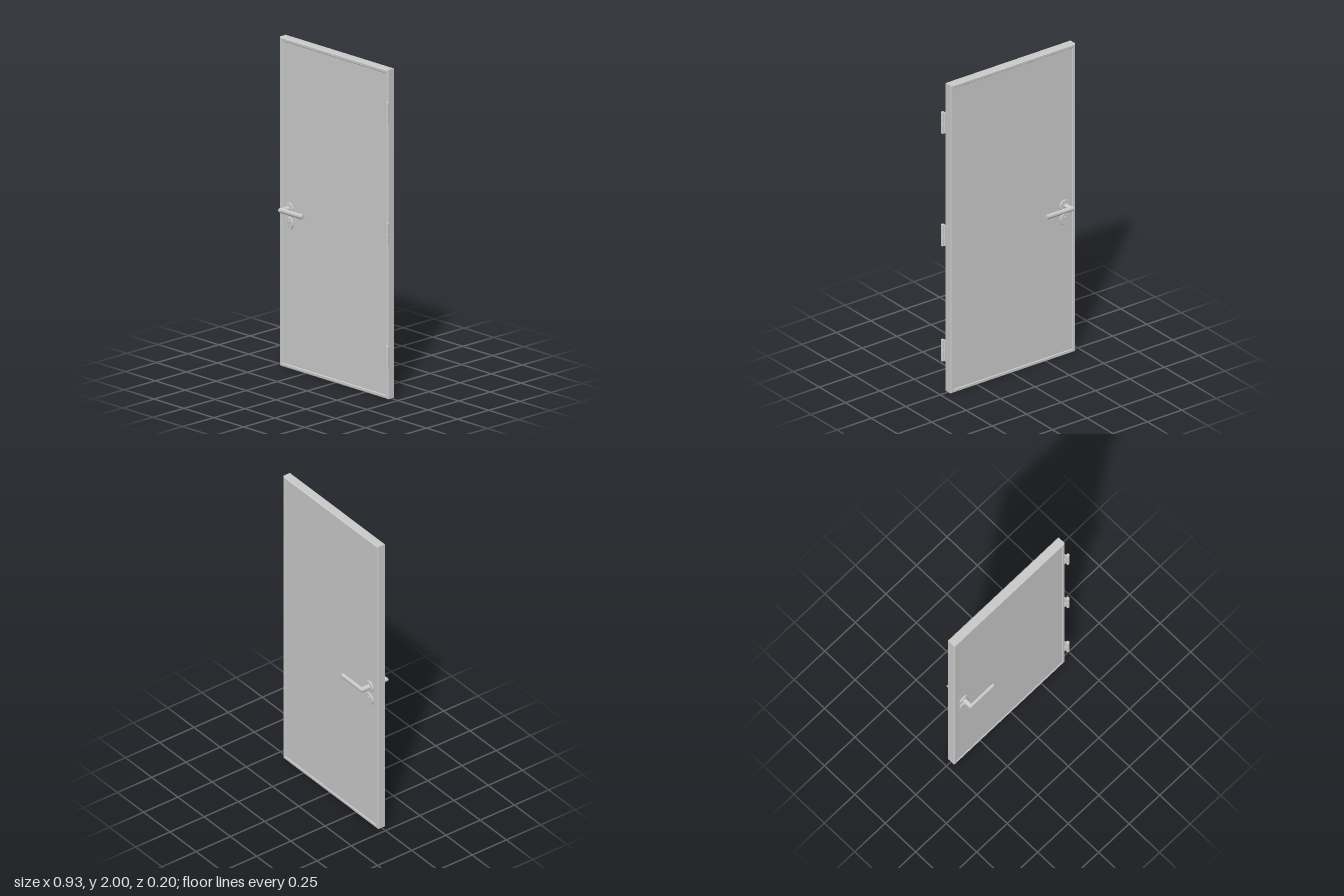
import * as THREE from 'three';

const steel = new THREE.MeshStandardMaterial({ color: 0xcccccc });
const CX = -0.01, W = 0.906, H = 2, HALF = 0.028; // door slab
const HX = -0.386; // handle axis

function add(parent, name, geometry, x = 0, y = 0, z = 0) {
  const mesh = new THREE.Mesh(geometry, steel);
  mesh.name = name;
  mesh.position.set(x, y, z);
  parent.add(mesh);
  return mesh;
}

function rect(Type, w, h) {
  const r = new Type();
  r.moveTo(-w / 2, -h / 2).lineTo(w / 2, -h / 2).lineTo(w / 2, h / 2).lineTo(-w / 2, h / 2).closePath();
  return r;
}

// Bevelled rim standing slightly proud of the panel
function rimGeometry() {
  const b = 0.005, border = 0.024;
  const shape = rect(THREE.Shape, W - 2 * b, H - 2 * b);
  shape.holes.push(rect(THREE.Path, W - 2 * border + 2 * b, H - 2 * border + 2 * b));
  const depth = 2 * (HALF - b);
  const g = new THREE.ExtrudeGeometry(shape, {
    depth, bevelEnabled: true, bevelSize: b, bevelThickness: b, bevelSegments: 1,
  });
  return g.translate(0, 0, -depth / 2);
}

// Round plate facing +z, from a profile of [radius, height]
function plateGeometry(profile) {
  const pts = profile.map(([r, h]) => new THREE.Vector2(r, h));
  return new THREE.LatheGeometry(pts, 40).rotateX(Math.PI / 2);
}

// Mitred lever: an oval section runs out along z, then turns along +x
function leverGeometry() {
  const N = 28, rx = 0.0165, ry = 0.0155, rz = 0.0115, zc = 0.0865, len = 0.181;
  const pos = [], index = [];
  const ring = (f) => {
    for (let i = 0; i <= N; i++) {
      const a = (i / N) * Math.PI * 2;
      pos.push(...f(Math.cos(a), Math.sin(a)));
    }
  };
  const neck = (c, s) => [rx * c, ry * s, 0.024];
  const mitre = (c, s) => [rx * c, ry * s, zc - rz * c];
  const end = (c, s) => [len, ry * s, zc - rz * c];
  // Rings are doubled at the mitre to keep that edge sharp
  [neck, mitre, mitre, end].forEach(ring);
  for (const k of [0, 2]) {
    for (let i = 0; i < N; i++) {
      const a = k * (N + 1) + i, b = a + N + 1;
      index.push(a, a + 1, b, a + 1, b + 1, b);
    }
  }
  // Flat end cap
  const first = pos.length / 3;
  ring(end);
  for (let i = 1; i < N - 1; i++) index.push(first, first + i, first + i + 1);
  const g = new THREE.BufferGeometry();
  g.setAttribute('position', new THREE.Float32BufferAttribute(pos, 3));
  g.setIndex(index);
  g.computeVertexNormals();
  return g;
}

// Lock cylinder face: round head with a narrower foot and a key slot
function lockGeometry() {
  const s = new THREE.Shape();
  s.absarc(0, 0.008, 0.011, -1.08, Math.PI + 1.08, false);
  s.lineTo(-0.0052, -0.018);
  s.absarc(0, -0.018, 0.0052, Math.PI, Math.PI * 2, false);
  s.closePath();
  const slot = rect(THREE.Path, 0.003, 0.012);
  slot.curves.forEach((c) => { c.v1.y += 0.008; c.v2.y += 0.008; });
  s.holes.push(slot);
  return new THREE.ExtrudeGeometry(s, { depth: 0.014, bevelEnabled: false, curveSegments: 16 });
}

// Handle, rose and lock plate for one face of the door
function makeHandleSet() {
  const g = new THREE.Group();
  const rose = [[0.037, 0], [0.037, 0.005], [0.037, 0.005], [0.035, 0.008], [0.035, 0.008], [0, 0.008]];
  add(g, 'handleRose', plateGeometry(rose), -0.383, 0.973, HALF - 0.002);
  add(g, 'handleCollar', plateGeometry([[0.021, 0], [0.021, 0.004], [0.021, 0.004], [0, 0.004]]), HX, 0.973, HALF + 0.005);
  add(g, 'lever', leverGeometry(), HX, 0.973, 0);
  add(g, 'lockRose', plateGeometry(rose), -0.383, 0.886, HALF - 0.002);
  add(g, 'lockCylinder', lockGeometry(), -0.383, 0.886, HALF - 0.004);
  return g;
}

// Hinge: two knuckles on a pin, with a cranked leaf for each
function makeHinge() {
  const g = new THREE.Group();
  const px = 0.4525, pz = 0.0405, h = 0.067;
  const leaf = new THREE.Shape();
  leaf.moveTo(0.441, 0.004).lineTo(0.4455, 0.004).lineTo(0.4455, 0.026)
    .lineTo(0.456, 0.036).lineTo(0.452, 0.042).lineTo(0.441, 0.031).closePath();
  const doorLeaf = new THREE.Shape();
  doorLeaf.moveTo(0.434, 0.024).lineTo(0.446, 0.024).lineTo(0.456, 0.036)
    .lineTo(0.45, 0.042).lineTo(0.441, 0.031).lineTo(0.434, 0.03).closePath();
  const upright = (shape) => new THREE.ExtrudeGeometry(shape, { depth: h, bevelEnabled: false })
    .rotateX(Math.PI / 2).translate(0, h / 2, 0);
  for (const s of [-1, 1]) {
    const y = s * 0.0348;
    add(g, 'hingeKnuckle', new THREE.CylinderGeometry(0.0105, 0.0105, h, 24), px, y, pz);
    add(g, 'hingeLeaf', upright(s > 0 ? leaf : doorLeaf), 0, y, 0);
  }
  add(g, 'hingePin', new THREE.CylinderGeometry(0.006, 0.006, 0.13, 16), px, 0, pz);
  return g;
}

export function createModel() {
  const model = new THREE.Group();
  model.name = 'door';

  // Slab
  add(model, 'rim', rimGeometry(), CX, H / 2, 0);
  add(model, 'panel', new THREE.BoxGeometry(W - 0.04, H - 0.04, 2 * HALF - 0.008), CX, H / 2, 0);

  // Handles on both faces, mirrored through the slab
  const front = makeHandleSet();
  front.name = 'frontHandle';
  const back = makeHandleSet();
  back.name = 'backHandle';
  back.scale.z = -1;
  model.add(front, back);

  // Three hinges on the left edge
  for (const y of [0.26, 1.008, 1.739]) {
    const hinge = makeHinge();
    hinge.name = 'hinge';
    hinge.position.y = y;
    model.add(hinge);
  }
  return model;
}
